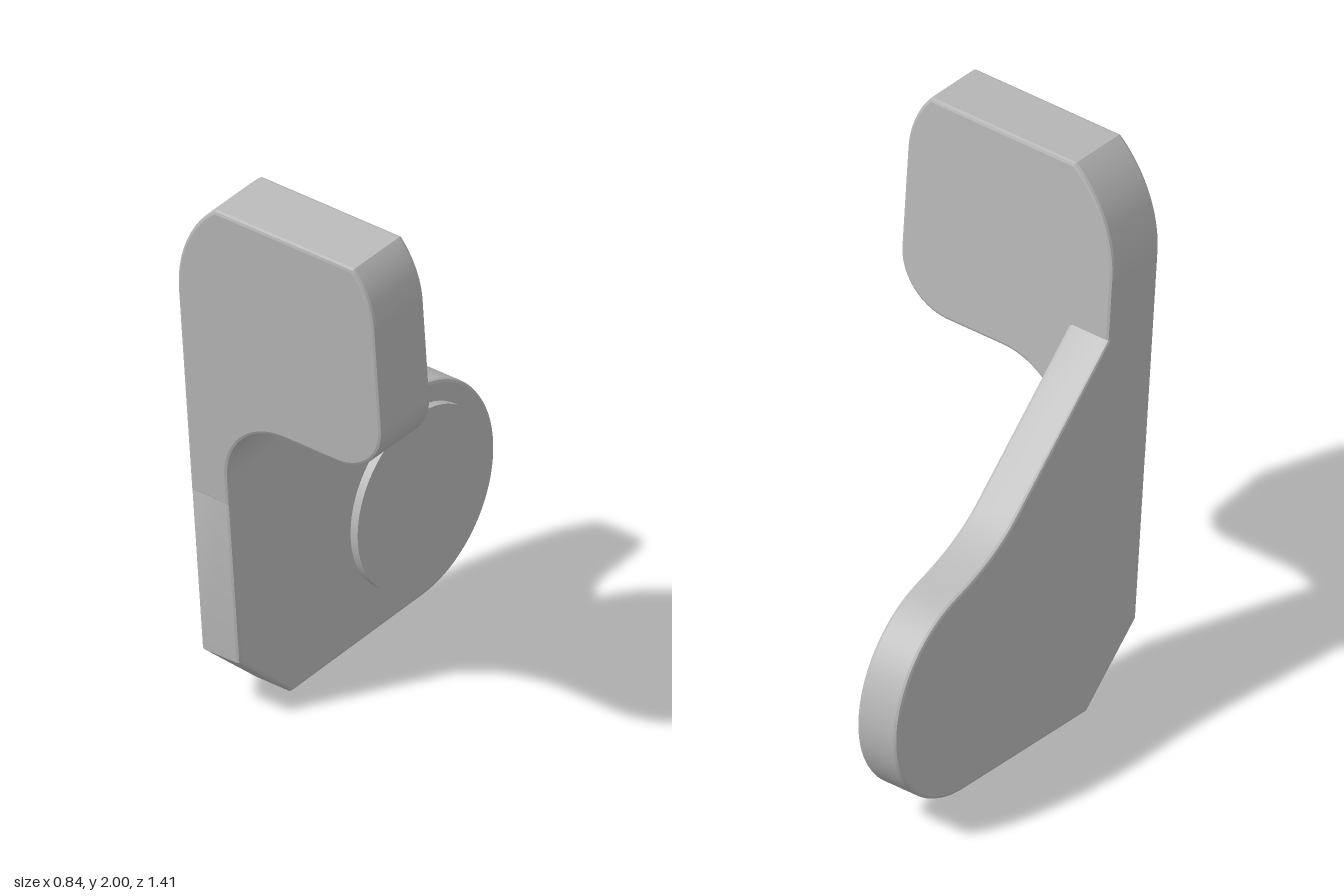
import * as THREE from 'three';
import { toCreasedNormals } from 'three/addons/utils/BufferGeometryUtils.js';

const EDGE = 0.012; // rounded edge size
const TILT = 0.085; // forward lean of the front plate

// Extrudes an outline to a slab of exact thickness with softened edges
function slab(shape, thickness) {
  const geometry = new THREE.ExtrudeGeometry(shape, {
    depth: thickness - 2 * EDGE,
    bevelThickness: EDGE,
    bevelSize: EDGE,
    bevelOffset: -EDGE,
    bevelSegments: 2,
    curveSegments: 32,
  });
  geometry.translate(0, 0, EDGE);
  return toCreasedNormals(geometry, 0.35);
}

export function createModel() {
  const group = new THREE.Group();
  const grey = new THREE.MeshStandardMaterial({ color: 0xb8b8b8 });
  grey.name = 'plain grey';

  function add(name, geometry) {
    const mesh = new THREE.Mesh(geometry, grey);
    mesh.name = name;
    group.add(mesh);
    return mesh;
  }

  // Front plate: rounded paddle with a stem that runs down into the side plate
  const top = 2.007;
  const front = new THREE.Shape();
  front.moveTo(-0.42, 0.85);
  front.lineTo(-0.26, 0.85);
  front.absarc(0, 0.955, 0.26, Math.PI, Math.PI / 2, true);
  front.absarc(0.22, 1.415, 0.2, -Math.PI / 2, 0, false);
  front.absarc(0.08, 1.79, 0.34, 0, Math.asin((top - 1.79) / 0.34), false);
  front.absarc(0.07, 1.63, 0.49, Math.PI - Math.asin((top - 1.63) / 0.49), Math.PI, false);
  front.closePath();
  const frontPlate = add('frontPlate', slab(front, 0.246));
  frontPlate.rotation.x = TILT;
  frontPlate.position.z = 0.295;

  // Side plate: drawn in (z, y), with a round lobe at the back
  const side = new THREE.Shape();
  side.moveTo(0.56, 0.22);
  side.lineTo(0.3, 0);
  side.absarc(-0.31, 0.46, 0.395, -1.66, -Math.PI * 1.433, true);
  side.quadraticCurveTo(-0.186, 0.889, -0.08, 0.98);
  side.lineTo(0.5, 1.477);
  side.lineTo(0.55, 1.2);
  side.lineTo(0.62, 0.925);
  side.closePath();
  const sidePlate = add('sidePlate', slab(side, 0.16));
  sidePlate.rotation.y = -Math.PI / 2;
  sidePlate.position.x = -0.26;

  // Raised round pad on the inner face of the lobe
  const pad = add('roundPad', new THREE.CylinderGeometry(0.32, 0.32, 0.04, 64));
  pad.rotation.z = Math.PI / 2;
  pad.position.set(-0.25, 0.46, -0.31);

  return group;
}
